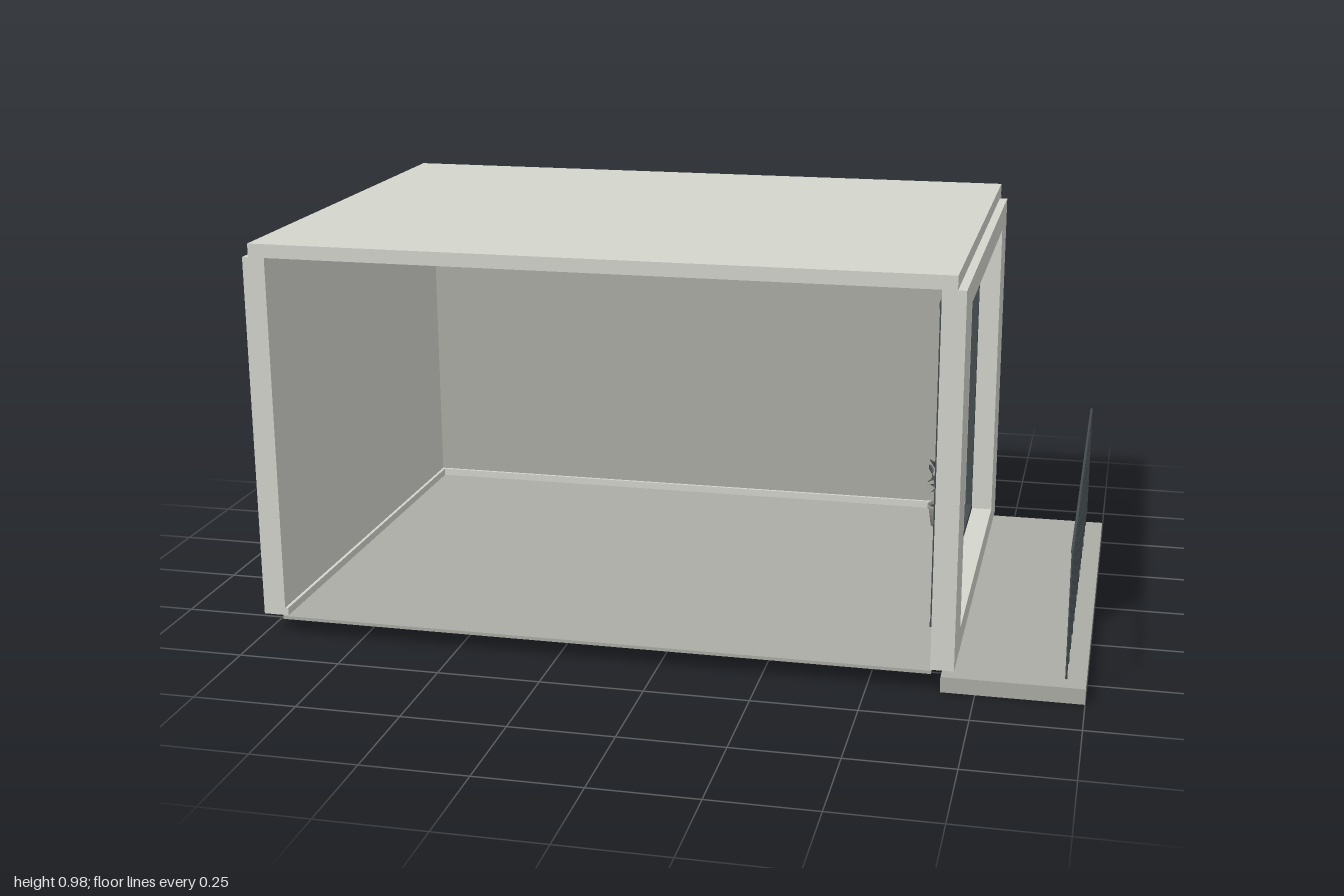
import * as THREE from 'three';
import { mergeGeometries } from 'three/addons/utils/BufferGeometryUtils.js';

const mat = (name, color) => {
  const m = new THREE.MeshStandardMaterial({ color });
  m.name = name;
  return m;
};

export function createModel() {
  const light = mat('light concrete', 0xd4d5cd);
  const dark = mat('dark concrete', 0xacada5);
  const metal = mat('dark metal', 0x454d50);
  const clay = mat('pot grey', 0x96978f);
  const leafMat = mat('foliage', 0x40484a);
  leafMat.side = THREE.DoubleSide;

  const model = new THREE.Group();
  model.name = 'roomWithBalcony';

  const add = (name, geometry, material, parent = model) => {
    const mesh = new THREE.Mesh(geometry, material);
    mesh.name = name;
    parent.add(mesh);
    return mesh;
  };
  const group = (name) => {
    const g = new THREE.Group();
    g.name = name;
    model.add(g);
    return g;
  };
  // Box from its minimum and maximum on each axis
  const span = (x0, x1, y0, y1, z0, z1) =>
    new THREE.BoxGeometry(x1 - x0, y1 - y0, z1 - z0)
      .translate((x0 + x1) / 2, (y0 + y1) / 2, (z0 + z1) / 2);

  // Shell of the room, open at the front
  add('roof', span(-0.985, 0.68, 0.947, 0.98, -0.597, 0.602), light);
  add('floor', span(-0.948, 0.648, 0.042, 0.05, -0.56, 0.608), dark);
  add('backWall', span(-0.985, 0.68, 0.047, 0.947, -0.613, -0.557), dark);
  add('rightWall', span(-1, -0.945, 0.05, 0.947, -0.557, 0.602), light);
  add('frontPillar', span(0.645, 0.70, 0.05, 0.947, 0.47, 0.602), light);

  // Window wall: sill, rear pier and lintel in one C-shaped piece
  const outline = [
    [-0.47, 0.05], [0.557, 0.05], [0.557, 0.947], [-0.47, 0.947],
    [-0.47, 0.888], [0.412, 0.888], [0.412, 0.105], [-0.47, 0.105],
  ].map(([u, y]) => new THREE.Vector2(u, y));
  const wall = new THREE.ExtrudeGeometry(new THREE.Shape(outline), { depth: 0.055, bevelEnabled: false });
  add('windowWall', wall.rotateY(Math.PI / 2).translate(0.645, 0, 0), light);

  // Skirting boards
  add('backSkirting', span(-0.945, 0.645, 0.05, 0.069, -0.557, -0.549), light);
  add('sideSkirting', span(-0.945, -0.937, 0.05, 0.069, -0.549, 0.602), light);

  // Three-pane window frame
  const frame = group('windowFrame');
  for (const z of [0.465, 0.178, -0.118, -0.406]) {
    add('framePost', span(0.629, 0.646, 0.105, 0.888, z - 0.007, z + 0.007), metal, frame);
  }
  for (const y of [0.111, 0.881]) {
    add('frameRail', span(0.628, 0.647, y - 0.008, y + 0.008, -0.413, 0.472), metal, frame);
  }

  // Balcony slab and railing
  add('balconySlab', span(0.67, 1, 0, 0.038, -0.557, 0.611), dark);
  const railing = group('railing');
  const railX = 0.955;
  add('handrail', new THREE.CylinderGeometry(0.004, 0.004, 1.17, 10)
    .rotateX(Math.PI / 2).translate(railX, 0.366, 0.027), metal, railing);
  for (let i = 0; i < 14; i++) {
    add('baluster', new THREE.CylinderGeometry(0.0025, 0.0025, 0.307, 8)
      .translate(railX, 0.2125, 0.609 - i * 0.0896), metal, railing);
  }

  // Ceiling spots
  for (const x of [-0.55, 0.25]) {
    add('ceilingSpot', new THREE.CylinderGeometry(0.014, 0.014, 0.007, 20)
      .translate(x, 0.9435, 0.13), metal);
  }

  // Potted plant
  const plant = group('pottedPlant');
  plant.position.set(0.56, 0.05, -0.41);
  const profile = [[0, 0], [0.026, 0], [0.033, 0.05], [0.036, 0.05], [0.036, 0.06], [0.031, 0.06], [0.03, 0.05]]
    .map(([r, y]) => new THREE.Vector2(r, y));
  add('pot', new THREE.LatheGeometry(profile, 24), clay, plant);
  add('soil', new THREE.CylinderGeometry(0.0305, 0.0305, 0.004, 24).translate(0, 0.05, 0), leafMat, plant);

  // Leaf: a pointed blade folded along its middle, growing along +z
  const leaf = new THREE.PlaneGeometry(0.015, 0.034, 2, 4).rotateX(Math.PI / 2).translate(0, 0, 0.017);
  const p = leaf.attributes.position;
  for (let i = 0; i < p.count; i++) {
    const t = p.getZ(i) / 0.034;
    const x = p.getX(i) * Math.sin(Math.PI * Math.min(1, Math.max(0, t)));
    p.setXYZ(i, x, Math.abs(x) * 0.4 - 0.008 * t * t, p.getZ(i));
  }
  leaf.computeVertexNormals();

  // Stems fan out from the soil and carry spiralling leaves
  const leaves = [];
  const stems = 5;
  for (let s = 0; s < stems; s++) {
    const a = s * 2.4;
    const lean = s === 0 ? 0.005 : 0.026;
    const top = 0.2 - s * 0.014;
    const curve = new THREE.QuadraticBezierCurve3(
      new THREE.Vector3(0, 0.05, 0),
      new THREE.Vector3(Math.cos(a) * lean * 0.3, top * 0.65, Math.sin(a) * lean * 0.3),
      new THREE.Vector3(Math.cos(a) * lean, top, Math.sin(a) * lean));
    add('stem', new THREE.TubeGeometry(curve, 8, 0.0016, 5), leafMat, plant);
    for (let i = 0; i < 9; i++) {
      const at = curve.getPoint(0.4 + 0.6 * i / 8);
      const size = 0.75 + 0.2 * Math.sin(i * 2.1 + s);
      leaves.push(leaf.clone().scale(size, size, size)
        .rotateX(-0.5 + 0.6 * Math.sin(i * 1.7 + s))
        .rotateY(i * 2.4 + a)
        .translate(at.x, at.y, at.z));
    }
  }
  add('leaves', mergeGeometries(leaves), leafMat, plant);

  return model;
}
